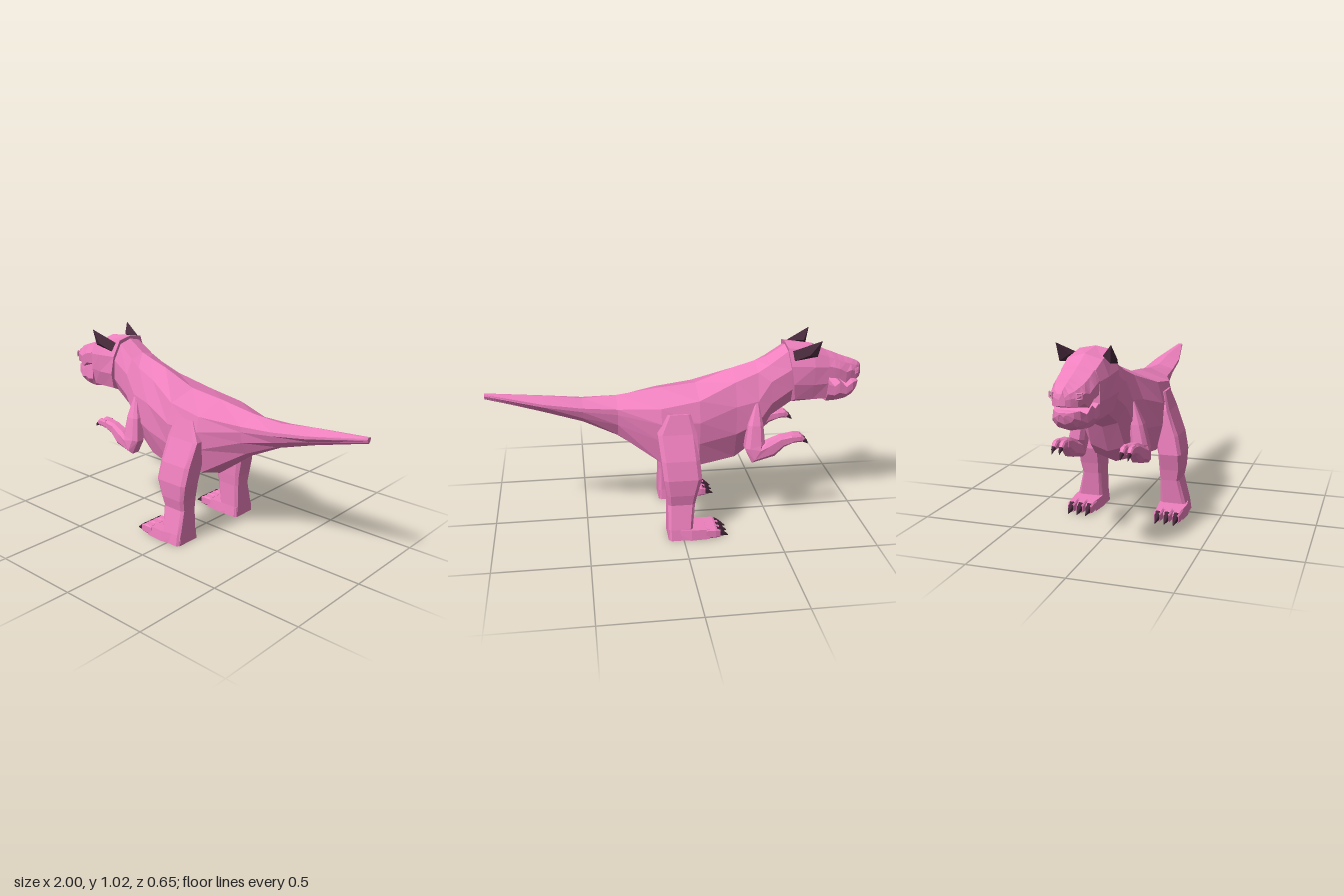
import * as THREE from 'three';
import { ConvexGeometry } from 'three/addons/geometries/ConvexGeometry.js';

const skin = new THREE.MeshStandardMaterial({ color: 0xee80be, flatShading: true });
const horn = new THREE.MeshStandardMaterial({ color: 0x46293a, flatShading: true });

// Closed skin over a row of rings, capped at both ends and always facing outwards
function loft(rings) {
  const n = rings[0].length;
  const tris = [];
  for (let i = 0; i < rings.length - 1; i++) {
    for (let j = 0; j < n; j++) {
      const k = (j + 1) % n;
      const [a, b, c, d] = [rings[i][j], rings[i][k], rings[i + 1][k], rings[i + 1][j]];
      tris.push([a, b, c], [a, c, d]);
    }
  }
  const cap = (ring, flip) => {
    const mid = ring.reduce((m, p) => m.add(p), new THREE.Vector3()).divideScalar(n);
    ring.forEach((p, j) => {
      const q = ring[(j + 1) % n];
      tris.push(flip ? [mid, q, p] : [mid, p, q]);
    });
  };
  cap(rings[0], true);
  cap(rings[rings.length - 1], false);
  let volume = 0;
  for (const [a, b, c] of tris) volume += a.dot(b.clone().cross(c));
  const points = tris.flatMap(([a, b, c]) => (volume < 0 ? [a, c, b] : [a, b, c]));
  const geometry = new THREE.BufferGeometry().setFromPoints(points);
  geometry.computeVertexNormals();
  return geometry;
}

// Symmetric ring: x at top and bottom, top y, [y, z] pairs down one side, bottom y
function section([xTop, xBottom, top, sides, bottom]) {
  const half = [[top, 0], ...sides, [bottom, 0]];
  const at = ([y, z], s) =>
    new THREE.Vector3(THREE.MathUtils.lerp(xTop, xBottom, (top - y) / (top - bottom)), y, z * s);
  return [...half.map((p) => at(p, 1)), ...half.slice(1, -1).reverse().map((p) => at(p, -1))];
}

// Eight-sided limb: each step is x, y, z, tilt in degrees, half depth, half width
function limb(steps, side, corner) {
  const c = corner;
  const oct = [[1, c], [c, 1], [-c, 1], [-1, c], [-1, -c], [-c, -1], [c, -1], [1, -c]];
  return loft(steps.map(([x, y, z, tilt, a, b]) => {
    const t = THREE.MathUtils.degToRad(tilt);
    return oct.map(([u, v]) =>
      new THREE.Vector3(x + u * a * Math.cos(t), y + u * a * Math.sin(t), (z + v * b) * side));
  }));
}

const hull = (points, side = 1) =>
  new ConvexGeometry(points.map(([x, y, z]) => new THREE.Vector3(x, y, z * side)));

export function createModel() {
  const model = new THREE.Group();
  const add = (name, geometry, material = skin, parent = model) => {
    const mesh = new THREE.Mesh(geometry, material);
    mesh.name = name;
    parent.add(mesh);
    return mesh;
  };

  // Neck, trunk and tail
  add('bodyAndTail', loft([
    [-0.59, -0.61, 0.975, [[0.955, 0.07], [0.86, 0.108], [0.75, 0.108], [0.67, 0.07]], 0.645],
    [-0.48, -0.50, 0.905, [[0.88, 0.08], [0.80, 0.12], [0.68, 0.122], [0.60, 0.08]], 0.575],
    [-0.42, -0.42, 0.885, [[0.845, 0.09], [0.70, 0.132], [0.58, 0.138], [0.46, 0.09]], 0.43],
    [-0.30, -0.30, 0.85, [[0.80, 0.10], [0.68, 0.148], [0.53, 0.155], [0.38, 0.11]], 0.345],
    [-0.10, -0.10, 0.775, [[0.73, 0.165], [0.62, 0.195], [0.50, 0.19], [0.365, 0.16]], 0.31],
    [0.10, 0.10, 0.755, [[0.70, 0.172], [0.62, 0.19], [0.52, 0.18], [0.385, 0.15]], 0.335],
    [0.32, 0.32, 0.725, [[0.68, 0.10], [0.65, 0.10], [0.59, 0.09], [0.52, 0.055]], 0.495],
    [0.50, 0.50, 0.715, [[0.69, 0.085], [0.67, 0.085], [0.63, 0.07], [0.60, 0.04]], 0.585],
    [0.70, 0.70, 0.74, [[0.715, 0.07], [0.70, 0.07], [0.68, 0.05], [0.66, 0.03]], 0.65],
    [1.00, 1.00, 0.765, [[0.763, 0.012], [0.755, 0.014], [0.75, 0.012], [0.74, 0.008]], 0.735],
  ].map(section)));

  // Head behind the mouth
  add('skull', loft([
    [-0.575, -0.63, 0.985, [[0.97, 0.08], [0.88, 0.118], [0.78, 0.125], [0.69, 0.10]], 0.64],
    [-0.72, -0.72, 0.97, [[0.945, 0.085], [0.87, 0.115], [0.77, 0.112], [0.68, 0.085]], 0.645],
    [-0.80, -0.80, 0.93, [[0.91, 0.08], [0.86, 0.10], [0.77, 0.10], [0.68, 0.08]], 0.65],
  ].map(section)));

  // Upper jaw, its lower edge stepping up and down as teeth
  const upper = [
    [-0.80, 0.93, 0.10, 0.80], [-0.835, 0.917, 0.099, 0.795], [-0.86, 0.906, 0.097, 0.79],
    [-0.90, 0.89, 0.09, 0.762], [-0.93, 0.88, 0.08, 0.786], [-0.965, 0.866, 0.062, 0.774],
    [-0.988, 0.855, 0.035, 0.778], [-1.0, 0.84, 0.014, 0.785],
  ];
  add('upperJaw', loft(upper.map(([x, top, w, low]) =>
    section([x, x, top, [[top - 0.018, w * 0.75], [(top + low) / 2, w], [low + 0.002, w * 0.95]], low]))));

  // Lower jaw with matching notches
  const lower = [
    [-0.80, 0.766, 0.10, 0.65], [-0.84, 0.75, 0.097, 0.65], [-0.87, 0.77, 0.092, 0.652],
    [-0.91, 0.738, 0.083, 0.658], [-0.95, 0.76, 0.066, 0.675], [-0.975, 0.758, 0.045, 0.70],
    [-0.988, 0.755, 0.02, 0.735],
  ];
  add('lowerJaw', loft(lower.map(([x, top, w, low]) =>
    section([x, x, top, [[top - 0.002, w * 0.95], [(top + low) / 2, w], [low + 0.012, w * 0.7]], low]))));

  for (const side of [1, -1]) {
    // Nostril rim
    const nostril = add('nostril', new THREE.TorusGeometry(0.018, 0.005, 4, 4, Math.PI * 2));
    nostril.geometry.rotateZ(Math.PI / 4);
    nostril.position.set(-0.963, 0.825, 0.065 * side);
    nostril.rotation.y = -0.85 * side;

    // Horn above the eye
    add('horn', hull([[-0.742, 1.017, 0.132], [-0.725, 0.93, 0.122], [-0.705, 0.96, 0.08],
      [-0.605, 0.91, 0.118], [-0.60, 0.955, 0.09], [-0.68, 0.945, 0.14]], side), horn);

    // Small arm, folded at the elbow
    const arm = new THREE.Group();
    arm.name = 'arm';
    model.add(arm);
    add('armLimb', limb([
      [-0.41, 0.69, 0.125, 0, 0.01, 0.012],
      [-0.40, 0.58, 0.148, 0, 0.04, 0.035],
      [-0.395, 0.47, 0.165, -15, 0.055, 0.043],
      [-0.405, 0.425, 0.173, -60, 0.055, 0.043],
      [-0.48, 0.45, 0.175, -118, 0.045, 0.036],
      [-0.54, 0.487, 0.172, -112, 0.033, 0.03],
      [-0.60, 0.502, 0.17, -90, 0.025, 0.034],
    ], side, 0.55), skin, arm);
    for (const z of [0.152, 0.19]) {
      add('finger', limb([[-0.59, 0.502, z, -90, 0.023, 0.014], [-0.635, 0.505, z, -80, 0.02, 0.014],
        [-0.652, 0.493, z, -50, 0.015, 0.011]], side, 0.55), skin, arm);
      add('fingerClaw', limb([[-0.64, 0.50, z, -60, 0.015, 0.01], [-0.665, 0.488, z, -40, 0.01, 0.007],
        [-0.682, 0.47, z, -30, 0.001, 0.001]], side, 0.55), horn, arm);
    }

    // Hind leg from the hip to the heel
    const leg = new THREE.Group();
    leg.name = 'hindLeg';
    model.add(leg);
    add('legLimb', limb([
      [0.01, 0.67, 0.16, 0, 0.06, 0.03],
      [0.022, 0.57, 0.178, 0, 0.102, 0.04],
      [0.01, 0.44, 0.205, 0, 0.10, 0.064],
      [0.0, 0.34, 0.227, 0, 0.10, 0.063],
      [0.004, 0.25, 0.226, 0, 0.08, 0.06],
      [0.007, 0.19, 0.222, 0, 0.072, 0.052],
      [0.015, 0.06, 0.237, 0, 0.065, 0.07],
      [0.015, 0, 0.238, 0, 0.065, 0.078],
    ], side, 0.78), skin, leg);

    // Foot, three toes and their claws
    add('foot', hull([[0.08, 0, 0.17], [0.08, 0, 0.302], [0.078, 0.06, 0.172], [0.078, 0.06, 0.298],
      [-0.04, 0, 0.157], [-0.04, 0, 0.324], [-0.04, 0.058, 0.165], [-0.04, 0.058, 0.318],
      [-0.14, 0, 0.168], [-0.14, 0, 0.318], [-0.14, 0.054, 0.175], [-0.14, 0.054, 0.312]], side), skin, leg);
    for (const z of [0.193, 0.243, 0.293]) {
      add('toe', limb([[-0.12, 0.028, z, 90, 0.028, 0.024], [-0.17, 0.028, z, 90, 0.027, 0.023],
        [-0.197, 0.023, z, 90, 0.021, 0.017]], side, 0.7), skin, leg);
      add('toeClaw', limb([[-0.18, 0.03, z, 90, 0.025, 0.017], [-0.205, 0.023, z, 90, 0.017, 0.012],
        [-0.24, 0.006, z, 90, 0.002, 0.002]], side, 0.6), horn, leg);
    }
  }
  return model;
}
